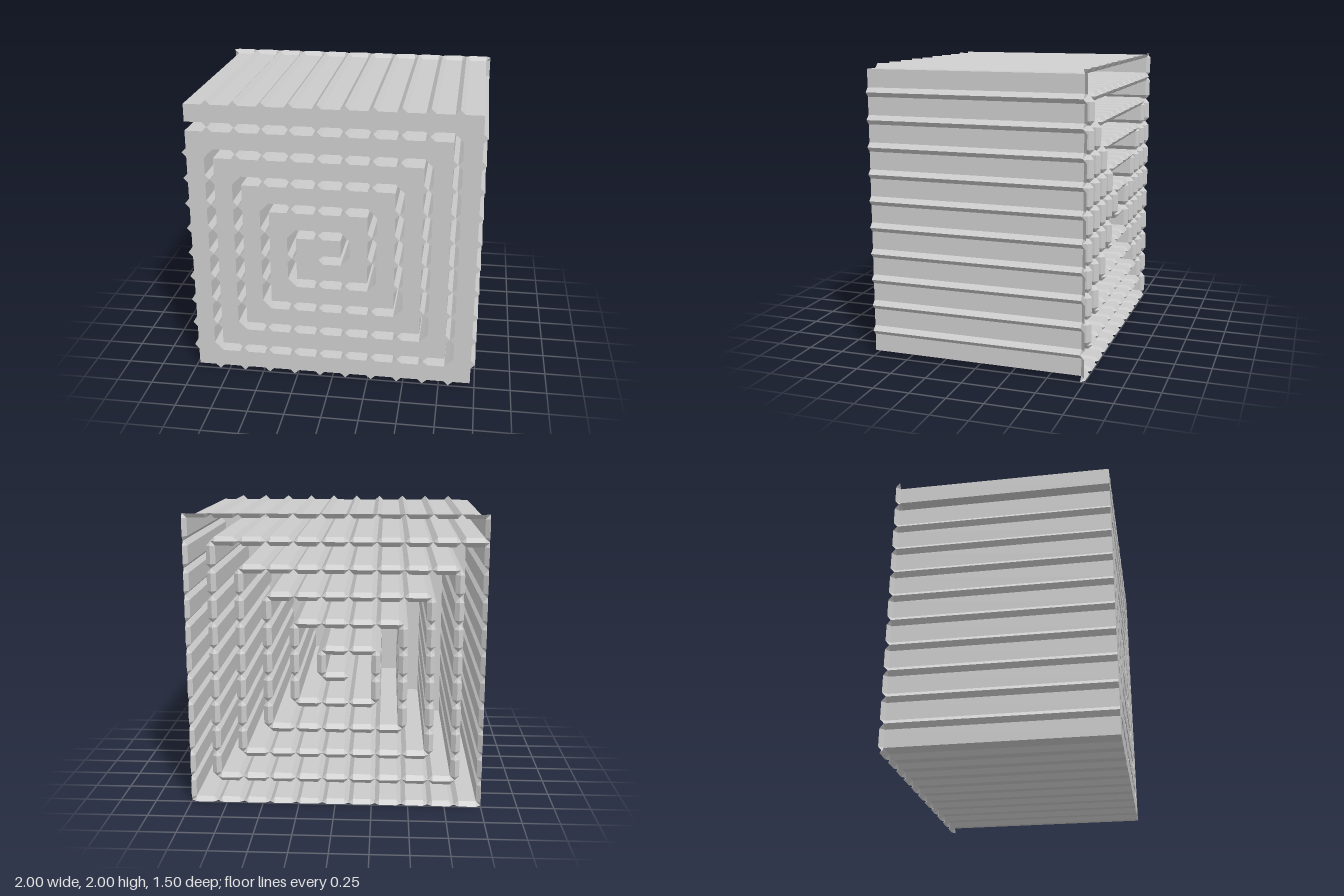
import * as THREE from 'three';

const CELLS = 11;            // grid cells across the square
const P = 2 / CELLS;         // cell pitch
const H = 0.031;             // half width of the slot between turns
const FRONT = 0.7475;        // front face
const EDGE = -0.721;         // back edge of the walls
const BACK = -0.7475;        // crest of the back seam

// Grid path: clockwise round the outside, inwards along the spiral slot, and back out
function gridPath() {
  const outer = [];
  const walk = (list, from, dir, n) => {
    for (let i = 0; i < n; i++) {
      from = [from[0] + dir[0], from[1] + dir[1]];
      list.push(from);
    }
    return from;
  };
  let at = [0, CELLS - 1];
  [[0, 1, 1], [1, 0, CELLS], [0, -1, CELLS], [-1, 0, CELLS], [0, 1, CELLS - 1]]
    .forEach(([x, y, n]) => { at = walk(outer, at, [x, y], n); });

  const slot = [];
  const dirs = [[1, 0], [0, -1], [-1, 0], [0, 1]];
  for (let leg = 0; leg < 2 * CELLS - 3; leg++) {
    at = walk(slot, at, dirs[leg % 4], CELLS - 1 - Math.ceil(leg / 2));
  }
  const back = slot.slice(0, -1).reverse();
  return [...outer, ...slot, ...back, [0, CELLS - 1]];
}

// Each grid point gives three stations: base, ridge tip, base.
// w is the point on the wall, m the point on the slot's middle line.
function stations(path) {
  const out = [];
  const n = path.length;
  for (let i = 0; i < n; i++) {
    const [p, v, q] = [path[(i + n - 1) % n], path[i], path[(i + 1) % n]];
    const a = new THREE.Vector2(v[0] - p[0], v[1] - p[1]);
    const b = new THREE.Vector2(q[0] - v[0], q[1] - v[1]);
    const na = new THREE.Vector2(a.y, -a.x);
    const nb = new THREE.Vector2(b.y, -b.x);
    const V = new THREE.Vector2(v[0] * P - 1, v[1] * P);
    const m0 = V.clone().addScaledVector(a, -H);
    const m1 = V.clone().addScaledVector(b, H);
    const inner = a.cross(b) < -0.5;      // corner turning towards the wall's side
    const tip = V.clone().addScaledVector(na.clone().add(nb), inner ? H : 0.0005);
    out.push({ w: m0.clone().addScaledVector(na, H), m: m0, z: BACK });
    out.push({ w: tip, m: V, z: EDGE });
    out.push({ w: m1.clone().addScaledVector(nb, H), m: m1, z: BACK });
  }
  return out;
}

// Closed strip of quads between two rails
function ribbon(railA, railB) {
  const pos = [];
  const tri = (a, b, c) => {
    const area = b.clone().sub(a).cross(c.clone().sub(a)).length();
    if (area > 1e-8) [a, b, c].forEach((p) => pos.push(p.x, p.y, p.z));
  };
  railA.forEach((a0, i) => {
    const j = (i + 1) % railA.length;
    tri(a0, railA[j], railB[j]);
    tri(a0, railB[j], railB[i]);
  });
  const g = new THREE.BufferGeometry();
  g.setAttribute('position', new THREE.Float32BufferAttribute(pos, 3));
  g.computeVertexNormals();
  return g;
}

export function createModel() {
  const group = new THREE.Group();
  group.name = 'spiralExchanger';
  const material = new THREE.MeshStandardMaterial({
    color: 0xcccccc, flatShading: true, side: THREE.DoubleSide,
  });
  const add = (name, geometry) => {
    const mesh = new THREE.Mesh(geometry, material);
    mesh.name = name;
    group.add(mesh);
  };

  const st = stations(gridPath());
  const rail = (key, z) => st.map((s) => new THREE.Vector3(s[key].x, s[key].y, z ?? s.z));

  // Ridged walls running from front to back
  add('ridgedWalls', ribbon(rail('w', FRONT), rail('w', EDGE)));

  // Bevelled seam that closes the slot at the back and forms the outer rim
  add('backSeam', ribbon(rail('w', EDGE), rail('m')));

  // Flat spiral plate closing the channel at the front
  const outline = st.map((s) => s.w)
    .filter((p, i, all) => p.distanceTo(all[(i + 1) % all.length]) > 1e-5);
  const plate = new THREE.ShapeGeometry(new THREE.Shape(outline));
  plate.translate(0, 0, FRONT);
  add('frontPlate', plate);

  return group;
}
